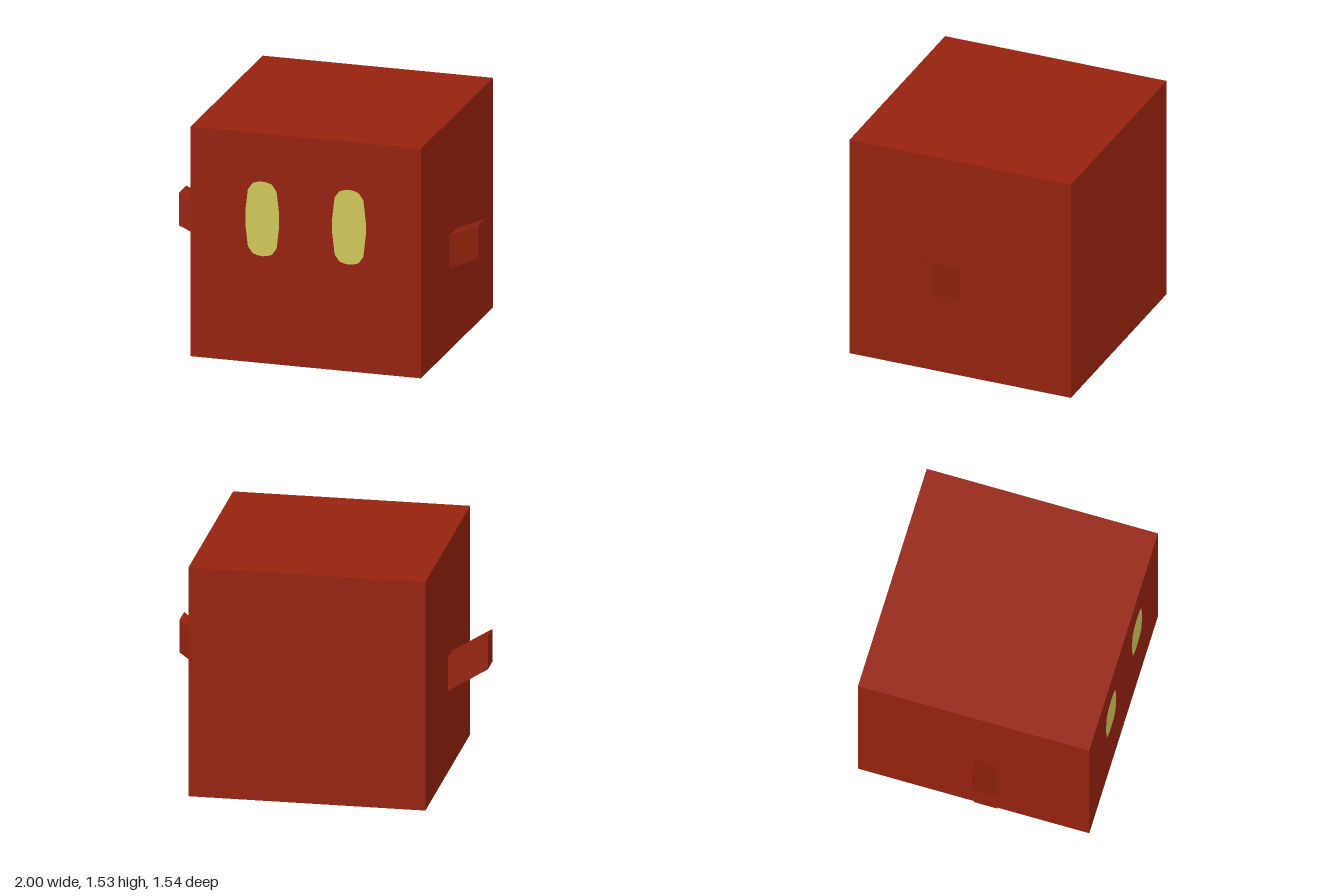
import * as THREE from 'three';

const CX = 0.0125; // body centre in x
const HALF = 0.7675; // half the cube's side

// Four-sided arm sheared from its root on the body to its raised, forward tip
function armGeometry(side, tipX, rise, forward) {
  const rootX = CX + side * HALF;
  const geo = new THREE.BoxGeometry(Math.abs(tipX - rootX), 0.22, 0.155);
  const pos = geo.attributes.position;
  for (let i = 0; i < pos.count; i++) {
    const atTip = pos.getX(i) * side > 0;
    pos.setXYZ(
      i,
      atTip ? tipX : rootX,
      pos.getY(i) + 0.658 + (atTip ? rise : 0),
      pos.getZ(i) + 0.0775 + (atTip ? forward : 0)
    );
  }
  const flat = geo.toNonIndexed();
  flat.computeVertexNormals();
  return flat;
}

// Tall rounded eye outline, given as one quarter and mirrored
function eyeGeometry() {
  const quarter = [[0.113, 0.04], [0.096, 0.19], [0.064, 0.235], [0.03, 0.246]];
  const half = [...quarter, [0, 0.25], ...quarter.slice().reverse().map(([x, y]) => [-x, y])];
  const lower = half.filter(([x]) => true).map(([x, y]) => [-x, -y]);
  return new THREE.ShapeGeometry(
    new THREE.Shape([...half, ...lower].map(([x, y]) => new THREE.Vector2(x, y)))
  );
}

export function createModel() {
  const model = new THREE.Group();
  const red = new THREE.MeshStandardMaterial({ color: 0x98230e });
  red.name = 'brick red';
  const yellow = new THREE.MeshStandardMaterial({ color: 0xd4cc5c });
  yellow.name = 'pale yellow';

  const add = (name, geometry, material, x = 0, y = 0, z = 0) => {
    const mesh = new THREE.Mesh(geometry, material);
    mesh.name = name;
    mesh.position.set(x, y, z);
    model.add(mesh);
  };

  // Cube body
  add('body', new THREE.BoxGeometry(2 * HALF, 2 * HALF, 2 * HALF), red, CX, HALF, 0);

  // Arms, each raised a little differently
  add('leftArm', armGeometry(1, 1, 0.114, 0.1), red);
  add('rightArm', armGeometry(-1, -1, 0.135, 0.075), red);

  // Eyes as flat faces just in front of the body
  for (const side of [1, -1]) {
    add(side > 0 ? 'leftEye' : 'rightEye', eyeGeometry(), yellow, CX + side * 0.289, 0.965, HALF + 0.003);
  }
  return model;
}
